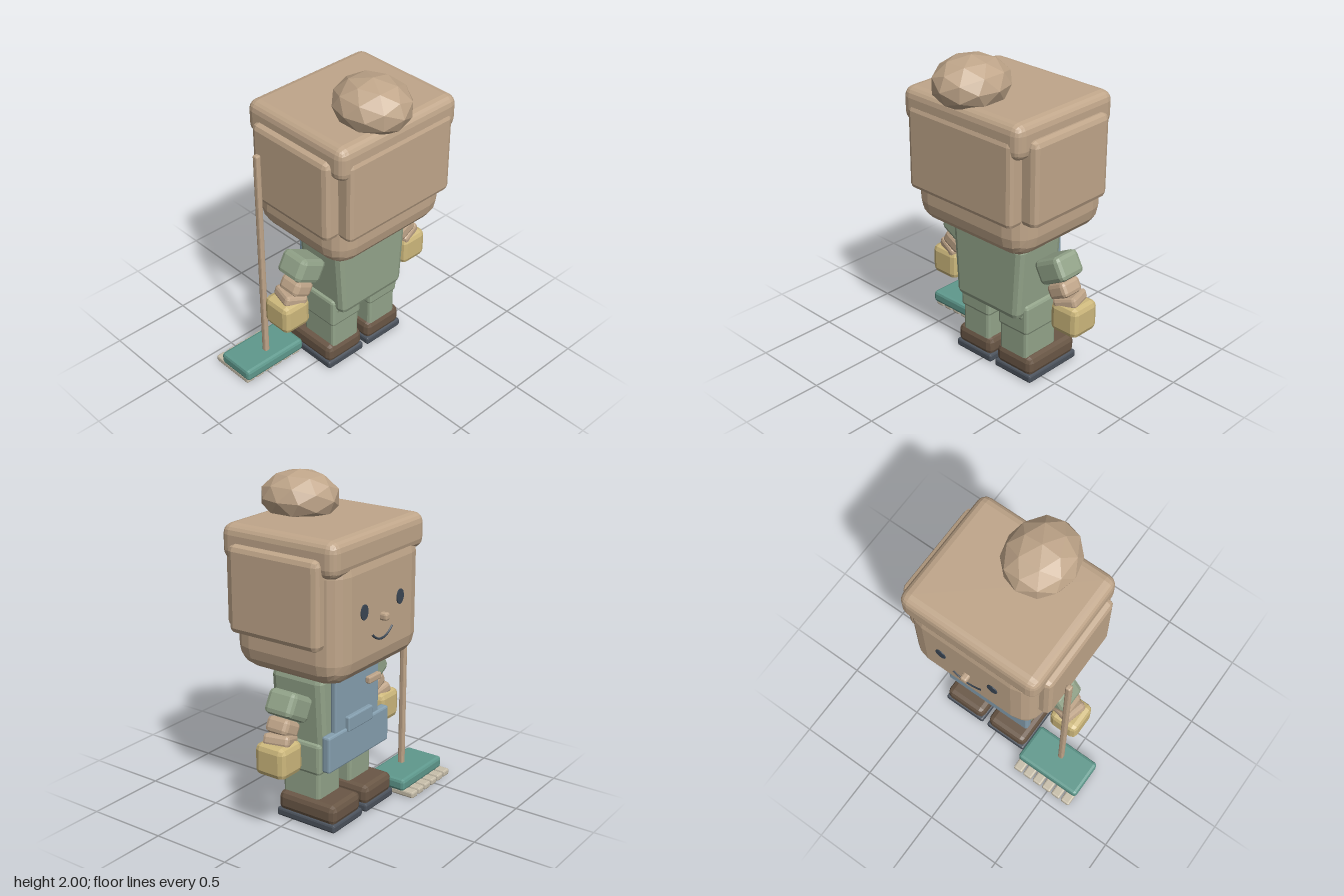
import * as THREE from 'three';
import { RoundedBoxGeometry } from 'three/addons/geometries/RoundedBoxGeometry.js';

const colours = {
  tan: 0xc0a68a, green: 0x93a48a, glove: 0xcdb87c, teal: 0x5f998d, brown: 0x6a5746,
  sole: 0x4b525c, apron: 0x86a0b0, bristle: 0xc8bfab, ink: 0x3b4754,
};

export function createModel() {
  const root = new THREE.Group();
  root.name = 'gardener';
  const mat = {};
  for (const [name, color] of Object.entries(colours)) {
    mat[name] = new THREE.MeshStandardMaterial({ color });
    mat[name].name = name;
  }
  const CX = 0.09; // the figure's own middle line

  function add(name, geo, m) {
    const mesh = new THREE.Mesh(geo, mat[m]);
    mesh.name = name;
    root.add(mesh);
    return mesh;
  }

  // Faceted rounded block given by its min/max extents; rule may reshape vertices
  function block(name, m, [x0, x1], [y0, y1], [z0, z1], r = 0.03, seg = 1, rule) {
    const w = x1 - x0, h = y1 - y0, d = z1 - z0;
    const geo = new RoundedBoxGeometry(w, h, d, seg, Math.min(r, w / 2.2, h / 2.2, d / 2.2));
    if (rule) {
      const p = geo.attributes.position;
      for (let i = 0; i < p.count; i++) {
        const v = new THREE.Vector3().fromBufferAttribute(p, i);
        rule(v, v.y / h + 0.5);
        p.setXYZ(i, v.x, v.y, v.z);
      }
    }
    geo.computeVertexNormals();
    const mesh = add(name, geo, m);
    mesh.position.set((x0 + x1) / 2, (y0 + y1) / 2, (z0 + z1) / 2);
    return mesh;
  }
  const around = (c, size) => [c - size / 2, c + size / 2];

  // Head and hair
  block('head', 'tan', [-0.347, 0.519], [0.93, 1.7], [-0.41, 0.335], 0.14, 2);
  block('hairCap', 'tan', [-0.362, 0.535], [1.56, 1.77], [-0.405, 0.373], 0.06, 2);
  block('hairBack', 'tan', [-0.31, 0.485], [1.16, 1.67], [0.25, 0.382], 0.03);
  for (const s of [-1, 1])
    block('hairSide', 'tan', around(CX + s * 0.42, 0.14), [1.16, 1.67], [-0.32, 0.29], 0.035);
  const bun = new THREE.IcosahedronGeometry(1, 1).scale(0.214, 0.157, 0.24);
  bun.computeVertexNormals();
  add('hairBun', bun, 'tan').position.set(0.025, 1.844, 0.203);

  // Face, on the -z side
  for (const s of [-1, 1]) {
    const eye = new THREE.CylinderGeometry(1, 1, 0.009, 14).rotateX(Math.PI / 2).scale(0.034, 0.045, 1);
    add('eye', eye, 'ink').position.set(CX + s * 0.176, 1.335, -0.412);
  }
  block('nose', 'tan', around(CX, 0.044), [1.245, 1.29], [-0.452, -0.4], 0.012);
  const smile = new THREE.QuadraticBezierCurve3(
    new THREE.Vector3(CX + 0.1, 1.185, -0.412),
    new THREE.Vector3(CX, 1.09, -0.412),
    new THREE.Vector3(CX - 0.1, 1.185, -0.412));
  add('mouth', new THREE.TubeGeometry(smile, 14, 0.007, 6), 'ink');

  // Neck, torso and hips
  block('neck', 'tan', around(CX, 0.27), [0.86, 0.98], [-0.14, 0.09], 0.02);
  block('torso', 'green', around(CX, 0.56), [0.43, 0.92], [-0.19, 0.167], 0.04, 1,
    (v, t) => { v.x *= 0.88 + 0.12 * t; });
  block('hips', 'green', around(CX, 0.5), [0.41, 0.52], [-0.17, 0.11], 0.02);

  for (const s of [-1, 1]) {
    // Legs and shoes
    const lx = CX + s * 0.155;
    block('upperLeg', 'green', around(lx, 0.235), [0.315, 0.51], [-0.175, 0.105], 0.02);
    block('lowerLeg', 'green', around(lx, 0.215), [0.13, 0.34], [-0.165, 0.095], 0.02);
    block('shoe', 'brown', around(CX + s * 0.163, 0.28), [0.04, 0.163], [-0.3, 0.105], 0.035);
    block('shoeSole', 'sole', around(CX + s * 0.163, 0.29), [0.005, 0.055], [-0.305, 0.11], 0.012);

    // Arms, tilted outwards, with gloves
    block('sleeve', 'green', around(CX + s * 0.38, 0.2), around(0.77, 0.15), [-0.14, 0.05], 0.03)
      .rotation.z = s * 0.5;
    block('forearm', 'tan', around(CX + s * 0.43, 0.14), around(0.655, 0.095), [-0.115, 0.035], 0.025)
      .rotation.z = s * 0.5;
    block('wrist', 'tan', around(CX + s * 0.465, 0.15), around(0.592, 0.07), [-0.13, 0.03], 0.02)
      .rotation.set(0, s * 0.25, s * 0.3);
    block('glove', 'glove', around(CX + s * 0.49, 0.195), [0.4, 0.59], [-0.158, 0.045], 0.035);
  }

  // Apron
  block('apronBib', 'apron', around(CX, 0.43), [0.42, 0.935], [-0.25, -0.215], 0.008);
  block('apronSkirt', 'apron', around(CX - 0.005, 0.6), [0.368, 0.59], [-0.264, -0.21], 0.012);
  block('apronPocket', 'apron', around(CX, 0.24), [0.57, 0.66], [-0.277, -0.24], 0.008);
  block('badge', 'tan', around(-0.05, 0.12), [0.8, 0.842], [-0.28, -0.245], 0.008);

  // Broom
  block('broomHandle', 'tan', around(-0.452, 0.034), [0.08, 1.53], around(-0.212, 0.036), 0.009);
  block('broomHead', 'teal', [-0.672, -0.227], [0.035, 0.112], [-0.373, -0.12], 0.02);
  for (let i = 0; i < 6; i++)
    block('bristle', 'bristle', around(-0.635 + i * 0.0735, 0.062), [0.005, 0.045], [-0.435, -0.14], 0.01);

  return root;
}
